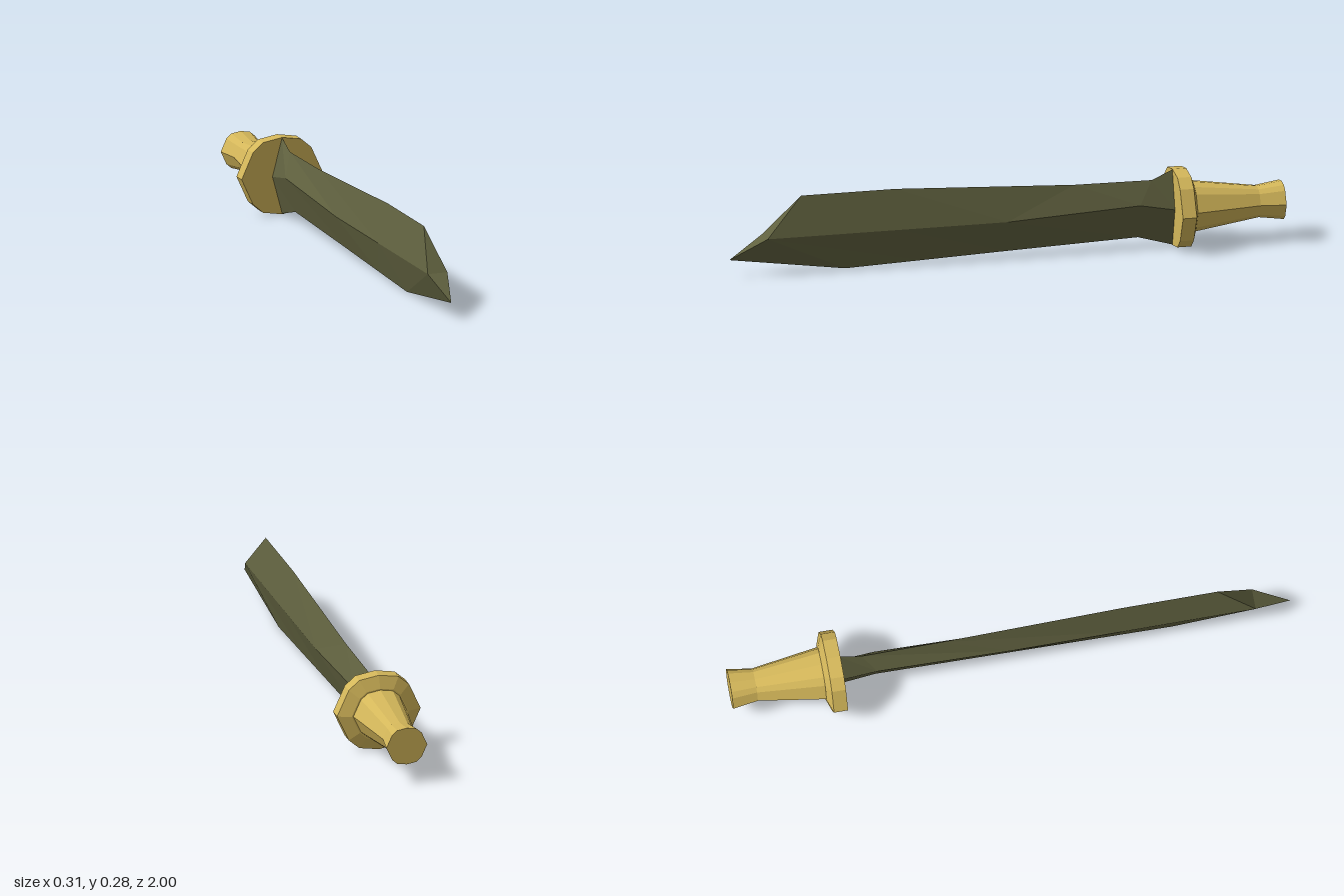
import * as THREE from 'three';

const steel = new THREE.MeshStandardMaterial({ color: 0x60613f, flatShading: true });
steel.name = 'dark steel';
const gold = new THREE.MeshStandardMaterial({ color: 0xd4b75a, flatShading: true });
gold.name = 'gold';

// Skins rings of points (counter-clockwise seen from +z, ordered by rising z).
function loft(rings) {
  const tris = [];
  for (let s = 0; s < rings.length - 1; s++) {
    const a = rings[s], b = rings[s + 1];
    a.forEach((p, i) => {
      const j = (i + 1) % a.length;
      tris.push(p, a[j], b[j], p, b[j], b[i]);
    });
  }
  return tris;
}

// Fan cap over one ring.
function cap(ring, facesFront) {
  const tris = [];
  for (let i = 1; i < ring.length - 1; i++) {
    tris.push(ring[0], ...(facesFront ? [ring[i], ring[i + 1]] : [ring[i + 1], ring[i]]));
  }
  return tris;
}

function makeMesh(name, tris, material) {
  const geometry = new THREE.BufferGeometry();
  geometry.setAttribute('position', new THREE.Float32BufferAttribute(tris.flat(), 3));
  geometry.computeVertexNormals();
  const mesh = new THREE.Mesh(geometry, material);
  mesh.name = name;
  return mesh;
}

// Twelve-sided outline shared by guard and grip, scaled about the sword's axis.
const axisY = 0.141;
const half = [[0, 0.139], [-0.072, 0.127], [-0.11, 0.094], [-0.153, 0], [-0.11, -0.094], [-0.072, -0.127]];
const outline = [...half, ...half.map(([x, y]) => [-x, -y])];
const ring = (z, scale) => outline.map(([x, y]) => [x * scale, axisY + y * scale, z]);

function turned(name, stations) {
  const rings = stations.map(([z, scale]) => ring(z, scale));
  const tris = [...cap(rings[0], false), ...loft(rings), ...cap(rings.at(-1), true)];
  return makeMesh(name, tris, gold);
}

function makeBlade() {
  // Diamond sections: z and y of the spine, the side ridges and the cutting edge.
  const sections = [
    [-0.61, 0.28, -0.61, 0.14, -0.61, 0.003],
    [-0.53, 0.245, -0.48, 0.165, -0.48, 0.04],
    [-0.25, 0.248, 0, 0.14, 0, 0.024],
    [0.4, 0.28, 0.4, 0.14, 0.3, 0.013],
    [0.74, 0.28, 0.87, 0.14, 0.58, 0.003],
  ];
  const w = 0.037;
  const rings = sections.map(([zt, yt, zr, yr, zb, yb]) =>
    [[0, yt, zt], [-w, yr, zr], [0, yb, zb], [w, yr, zr]]);

  // Clipped front facet and low point
  const [top, right, bottom, left] = rings.at(-1);
  const tip = [0, 0.063, 1];
  const point = [top, right, left, right, tip, left, right, bottom, tip, bottom, left, tip];
  return makeMesh('blade', [...cap(rings[0], false), ...loft(rings), ...point], steel);
}

export function createModel() {
  const sword = new THREE.Group();
  sword.name = 'sword';
  sword.add(
    makeBlade(),
    turned('guard', [[-0.672, 0.68], [-0.655, 1], [-0.605, 1]]),
    turned('grip', [[-1, 0.49], [-0.91, 0.4], [-0.665, 0.65]]),
  );
  return sword;
}
